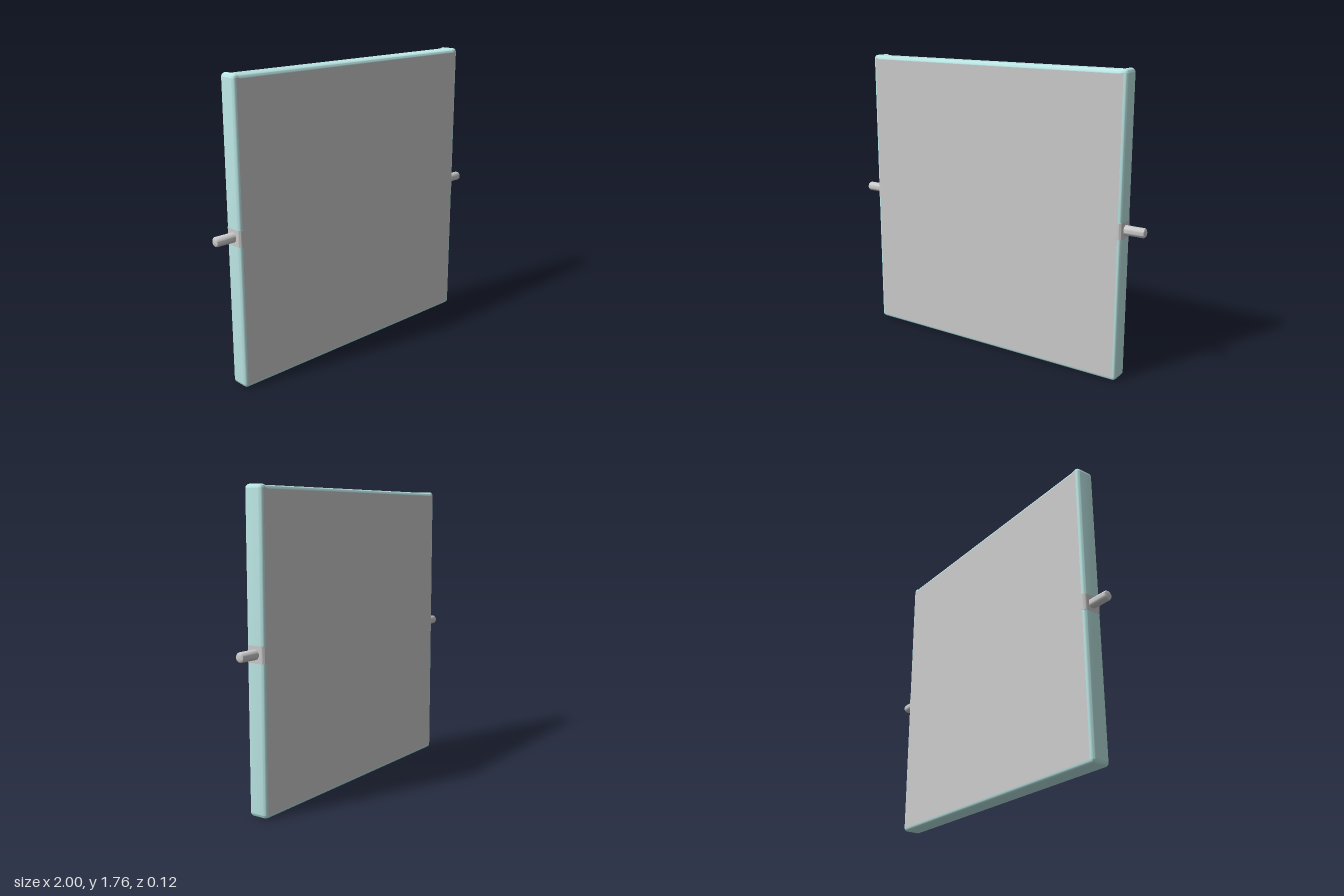
import * as THREE from 'three';
import { toCreasedNormals } from 'three/addons/utils/BufferGeometryUtils.js';

const HALF = 0.88, HEIGHT = 1.76, DEPTH = 0.116, BEVEL = 0.02, PIVOT_Y = 0.885;

// Square outline inset by the bevel, with softened corners and a shallow dip along the top
function panelOutline() {
  const w = HALF - BEVEL, b = BEVEL, t = HEIGHT - BEVEL, r = 0.005, dip = 0.006;
  const s = new THREE.Shape();
  s.moveTo(-w + r, b);
  s.lineTo(w - r, b);
  s.quadraticCurveTo(w, b, w, b + r);
  s.lineTo(w, t - r);
  s.quadraticCurveTo(w, t, w - r, t);
  s.lineTo(w - 0.025, t - dip);
  s.lineTo(-w + 0.025, t - dip);
  s.lineTo(-w + r, t);
  s.quadraticCurveTo(-w, t, -w, t - r);
  s.lineTo(-w, b + r);
  s.quadraticCurveTo(-w, b, -w + r, b);
  return s;
}

export function createModel() {
  const model = new THREE.Group();
  model.name = 'pivotingPanel';
  const grey = new THREE.MeshStandardMaterial({ color: 0xcccccc });
  const teal = new THREE.MeshStandardMaterial({ color: 0xbce8e6 });
  const add = (name, geometry, material, x = 0, y = 0, z = 0) => {
    const mesh = new THREE.Mesh(geometry, material);
    mesh.name = name;
    mesh.position.set(x, y, z);
    model.add(mesh);
    return mesh;
  };

  // Slab with a rounded coloured rim
  const outline = panelOutline();
  const rim = new THREE.ExtrudeGeometry(outline, {
    depth: DEPTH - 2 * BEVEL, bevelEnabled: true, bevelThickness: BEVEL,
    bevelSize: BEVEL, bevelSegments: 5, curveSegments: 5,
  });
  rim.translate(0, 0, -DEPTH / 2 + BEVEL);
  add('rim', toCreasedNormals(rim, 0.7), teal);

  // Flat grey faces, front and back
  const face = new THREE.ShapeGeometry(outline, 5);
  add('frontFace', face, grey, 0, 0, DEPTH / 2 + 0.001);
  add('backFace', face, grey, 0, 0, -DEPTH / 2 - 0.001).rotation.y = Math.PI;

  // Grey band across the rim at each pivot, following the rounded edge
  const x0 = 0.84, x1 = HALF + 0.001, d = DEPTH / 2 + 0.001;
  const band = new THREE.Shape();
  band.moveTo(x0, -d);
  band.lineTo(x1 - BEVEL, -d);
  band.absarc(x1 - BEVEL, -d + BEVEL, BEVEL, -Math.PI / 2, 0, false);
  band.lineTo(x1, d - BEVEL);
  band.absarc(x1 - BEVEL, d - BEVEL, BEVEL, 0, Math.PI / 2, false);
  band.lineTo(x0, d);
  band.closePath();
  const bandGeo = new THREE.ExtrudeGeometry(band, { depth: 0.094, bevelEnabled: false, curveSegments: 5 });
  bandGeo.translate(0, 0, -0.047).rotateX(-Math.PI / 2);
  const bandSmooth = toCreasedNormals(bandGeo, 0.7);

  // Pivot pin with a chamfered tip, lying along +x
  const pin = new THREE.LatheGeometry(
    [[0, 0.86], [0.028, 0.86], [0.028, 0.99], [0.025, 0.997], [0.02, 1], [0, 1]]
      .map(([r, h]) => new THREE.Vector2(r, h)), 24);
  pin.rotateZ(-Math.PI / 2);
  const pinSmooth = toCreasedNormals(pin, 0.6);

  for (const [side, turn] of [['left', 0], ['right', Math.PI]]) {
    add(side + 'PivotBand', bandSmooth, grey, 0, PIVOT_Y).rotation.y = turn;
    add(side + 'PivotPin', pinSmooth, grey, 0, PIVOT_Y).rotation.y = turn;
  }
  return model;
}
